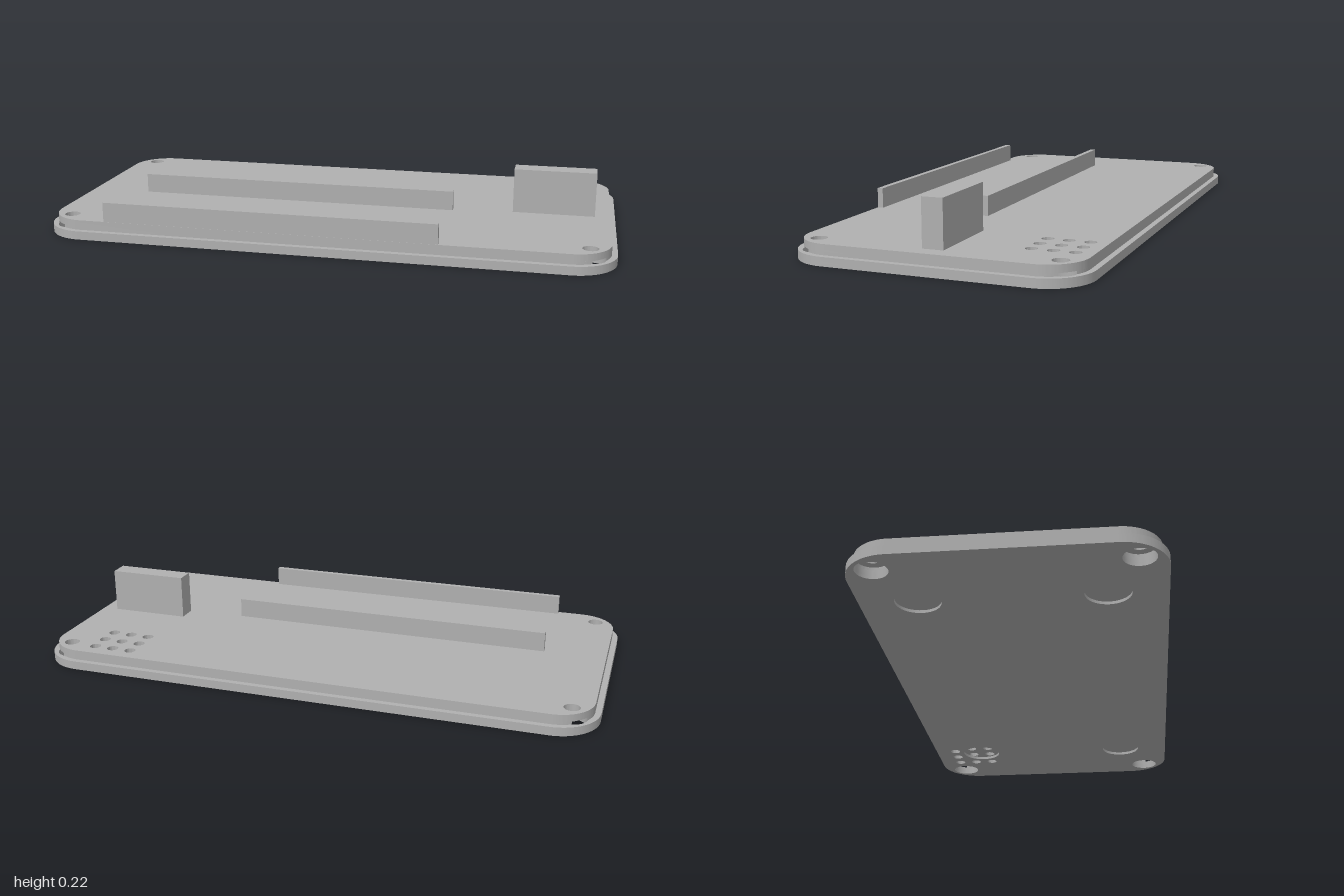
import * as THREE from 'three';
import { toCreasedNormals } from 'three/addons/utils/BufferGeometryUtils.js';

const R = 0.13;                       // corner radius of the inner lip
const CORNER = { x: 0.85, y: 0.34 };  // centre of every corner arc
const SCREW = { x: 0.91, y: 0.4 };    // screw hole centre
const BORE = 0.052;                   // counterbore radius
const FOOT = { x: 0.7, y: 0.3, r: 0.075 };
const SIGNS = [[1, 1], [-1, 1], [-1, -1], [1, -1]];

// Rounded outline; a notched one is cut by the counterbores at its corners
function outline(radius, notched = false) {
  const s = new THREE.Shape();
  const d = Math.hypot(SCREW.x - CORNER.x, SCREW.y - CORNER.y);
  const a = Math.acos((radius ** 2 + d ** 2 - BORE ** 2) / (2 * radius * d));
  const b = Math.acos((radius ** 2 - d ** 2 - BORE ** 2) / (2 * d * BORE));
  SIGNS.forEach(([sx, sy], k) => {
    const mid = Math.PI / 4 + k * Math.PI / 2, q = Math.PI / 4;
    const cx = sx * CORNER.x, cy = sy * CORNER.y;
    if (notched) {
      s.absarc(cx, cy, radius, mid - q, mid - a, false);
      s.absarc(sx * SCREW.x, sy * SCREW.y, BORE, mid - b, mid + b, true);
      s.absarc(cx, cy, radius, mid + a, mid + q, false);
    } else {
      s.absarc(cx, cy, radius, mid - q, mid + q, false);
    }
  });
  s.closePath();
  return s;
}

function addHole(shape, x, y, r) {
  shape.holes.push(new THREE.Path().absarc(x, y, r, 0, Math.PI * 2, true));
}

function addCornerHoles(shape, p, r) {
  for (const [sx, sy] of SIGNS) addHole(shape, sx * p.x, sy * p.y, r);
}

// 3 x 3 speaker vents; those inside a foot recess can be left out
function addVents(shape, skipRecess = false) {
  for (const x of [0.667, 0.737, 0.807]) {
    for (const y of [0.27, 0.34, 0.41]) {
      const inside = Math.hypot(x - FOOT.x, y - FOOT.y) < FOOT.r;
      if (!(skipRecess && inside)) addHole(shape, x, y, 0.02);
    }
  }
}

export function createModel() {
  const group = new THREE.Group();
  group.name = 'enclosureLid';
  const grey = new THREE.MeshStandardMaterial({ color: 0xb0b0b0 });
  grey.name = 'grey plastic';

  function addLayer(name, shape, y0, y1) {
    let geo = new THREE.ExtrudeGeometry(shape, { depth: y1 - y0, bevelEnabled: false, curveSegments: 20 });
    geo.rotateX(-Math.PI / 2);
    geo = toCreasedNormals(geo, Math.PI / 6);
    const mesh = new THREE.Mesh(geo, grey);
    mesh.name = name;
    mesh.position.y = y0;
    group.add(mesh);
  }

  function addBox(name, x0, x1, y0, y1, z0, z1) {
    const mesh = new THREE.Mesh(new THREE.BoxGeometry(x1 - x0, y1 - y0, z1 - z0), grey);
    mesh.name = name;
    mesh.position.set((x0 + x1) / 2, (y0 + y1) / 2, (z0 + z1) / 2);
    group.add(mesh);
  }

  // Underside with round foot recesses
  const underside = outline(R + 0.02);
  addCornerHoles(underside, SCREW, BORE);
  addCornerHoles(underside, FOOT, FOOT.r);
  addVents(underside, true);
  addLayer('underside', underside, 0, 0.01);

  // Rest of the wide base plate
  const base = outline(R + 0.02);
  addCornerHoles(base, SCREW, BORE);
  addVents(base);
  addLayer('basePlate', base, 0.01, 0.03);

  // Lower lip, where the counterbores break through the corners
  const lowerLip = outline(R, true);
  addVents(lowerLip);
  addLayer('lowerLip', lowerLip, 0.03, 0.04);

  // Upper lip with narrow screw holes
  const upperLip = outline(R);
  addCornerHoles(upperLip, SCREW, 0.027);
  addVents(upperLip);
  addLayer('upperLip', upperLip, 0.04, 0.065);

  // Two rails and the tall support block
  addBox('middleRail', -0.76, 0.42, 0.06, 0.135, 0.042, 0.062);
  addBox('frontRail', -0.76, 0.42, 0.06, 0.135, 0.449, 0.469);
  addBox('supportBlock', 0.635, 0.925, 0.06, 0.224, -0.036, 0.035);

  return group;
}
